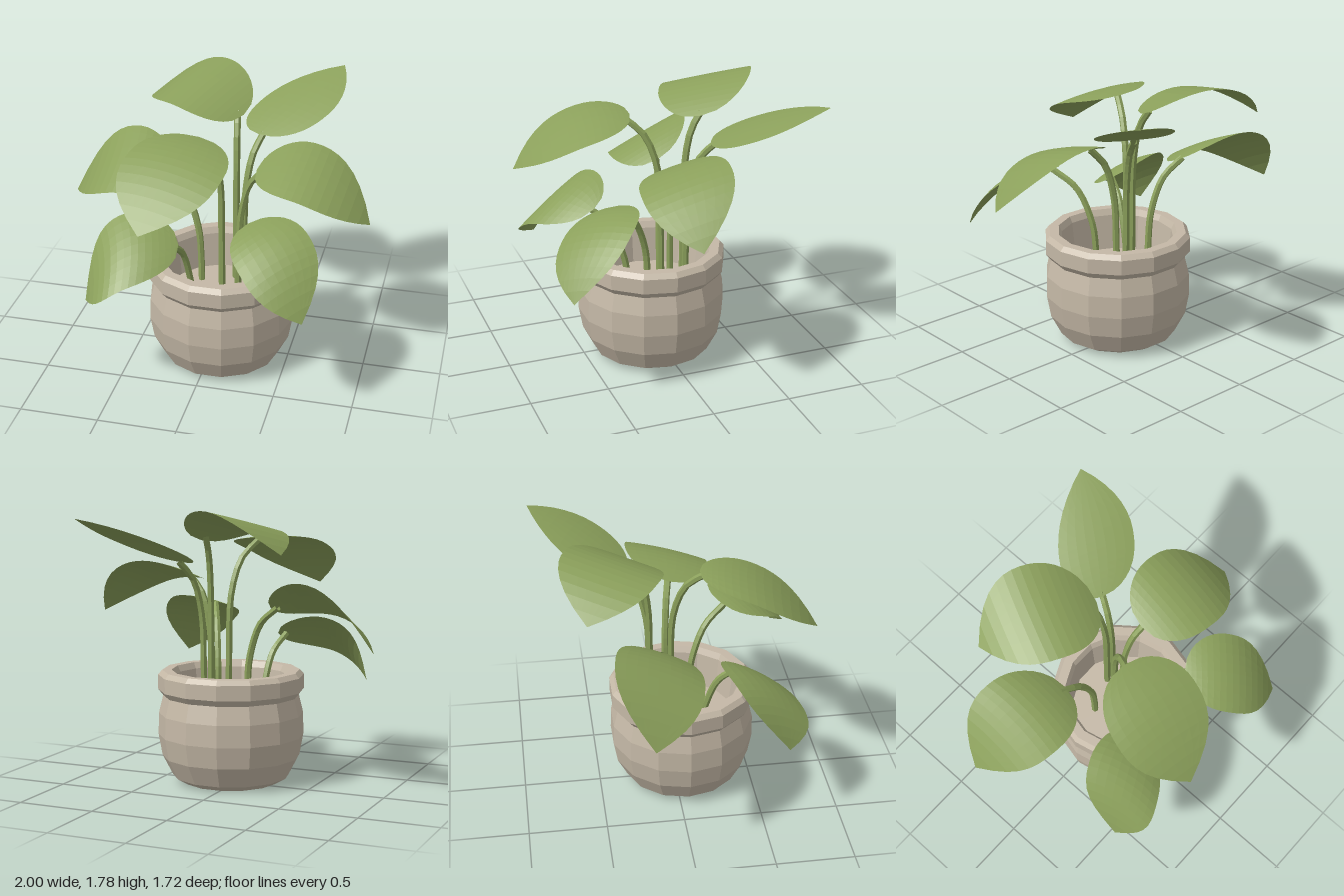
import * as THREE from 'three';

const V = (a) => new THREE.Vector3(...a);
const WIDEST = 0.42; // fraction of the leaf length where it is broadest

// Each leaf: base, middle, tip, the two widest edge points, tip fullness, and stem foot [x, z]
const LEAVES = [
  { name: 'leftLeaf', base: [-0.29, 1.16, -0.12], mid: [-0.61, 1.25, -0.17], tip: [-1, 0.93, -0.24],
    edges: [[-0.63, 1.35, -0.43], [-0.63, 1.11, 0.1]], full: 2.7, foot: [-0.1, -0.06] },
  { name: 'frontLeftLeaf', base: [-0.14, 0.94, 0.37], mid: [-0.43, 0.96, 0.51], tip: [-0.67, 0.62, 0.63],
    edges: [[-0.53, 1.06, 0.29], [-0.39, 0.79, 0.73]], full: 2.8, foot: [-0.11, 0.16] },
  { name: 'backLeftLeaf', base: [0.13, 1.58, -0.24], mid: [-0.17, 1.72, -0.41], tip: [-0.54, 1.53, -0.58],
    edges: [[-0.05, 1.78, -0.66], [-0.29, 1.65, -0.13]], full: 2.6, foot: [0.11, -0.14] },
  { name: 'backRightLeaf', base: [0.22, 1.44, -0.28], mid: [0.41, 1.58, -0.5], tip: [0.67, 1.73, -0.86],
    edges: [[0.19, 1.56, -0.6], [0.63, 1.56, -0.39]], full: 2.1, foot: [0.16, -0.14] },
  { name: 'rightLeaf', base: [0.27, 1.33, 0], mid: [0.6, 1.37, 0.03], tip: [1, 1.07, 0.08],
    edges: [[0.62, 1.43, -0.24], [0.57, 1.28, 0.3]], full: 2.6, foot: [0.15, -0.04] },
  { name: 'frontLeaf', base: [-0.06, 1.58, 0.15], mid: [-0.14, 1.54, 0.46], tip: [-0.25, 1.24, 0.86],
    edges: [[-0.44, 1.54, 0.42], [0.165, 1.48, 0.53]], full: 2.6, foot: [0.045, -0.02] },
  { name: 'frontRightLeaf', base: [0.29, 1.13, 0.35], mid: [0.49, 1.08, 0.56], tip: [0.71, 0.73, 0.77],
    edges: [[0.32, 0.98, 0.71], [0.67, 1.12, 0.39]], full: 2.7, foot: [0.18, 0.12] },
];

// Arched midrib through base, middle and tip
function midrib({ base, mid, tip }) {
  const t = WIDEST;
  const control = V(mid).addScaledVector(V(base), -((1 - t) ** 2)).addScaledVector(V(tip), -t * t)
    .divideScalar(2 * t * (1 - t));
  return new THREE.QuadraticBezierCurve3(V(base), control, V(tip));
}

// Half width along the leaf: round at the base, pointed at the tip
function widthAt(t, full) {
  if (t < WIDEST) return Math.pow(1 - Math.pow(1 - t / WIDEST, 2.3), 1 / 2.1);
  return 1 - Math.pow((t - WIDEST) / (1 - WIDEST), full);
}

// Curved leaf blade made from cross-sections along the midrib
function leafGeometry(leaf, rib) {
  const rows = 16, cols = 8, positions = [], index = [];
  const [left, right] = leaf.edges.map(V);
  const across = right.clone().sub(left).multiplyScalar(0.5);
  const bend = right.clone().add(left).multiplyScalar(0.5).sub(V(leaf.mid));
  for (let i = 0; i <= rows; i++) {
    const t = Math.pow(i / rows, 1.4), w = widthAt(t, leaf.full), centre = rib.getPoint(t);
    for (let j = 0; j <= cols; j++) {
      const s = (j / cols * 2 - 1) * w;
      const p = centre.clone().addScaledVector(across, s).addScaledVector(bend, s * s);
      positions.push(p.x, p.y, p.z);
      if (i < rows && j < cols) {
        const a = i * (cols + 1) + j, b = a + cols + 1;
        index.push(a, b, a + 1, b, b + 1, a + 1);
      }
    }
  }
  const geometry = new THREE.BufferGeometry();
  geometry.setAttribute('position', new THREE.Float32BufferAttribute(positions, 3));
  geometry.setIndex(index);
  geometry.computeVertexNormals();
  return geometry;
}

// Stem that rises straight from the soil, then arches over to the leaf
function stemGeometry([x, z], joint) {
  const at = (k, y) => new THREE.Vector3(x + (joint.x - x) * k, y, z + (joint.z - z) * k);
  const h = joint.y;
  const path = new THREE.CatmullRomCurve3([
    at(0, 0.45), at(0.02, (0.45 + h - 0.35) / 2), at(0.1, h - 0.33), at(0.45, h - 0.11), joint,
  ]);
  return new THREE.TubeGeometry(path, 14, 0.022, 6, false);
}

export function createModel() {
  const model = new THREE.Group();
  model.name = 'pottedPlant';
  const clay = new THREE.MeshStandardMaterial({ name: 'clay', color: 0xc4b8a6, flatShading: true });
  const green = new THREE.MeshStandardMaterial({
    name: 'leafGreen', color: 0x8ba05b, flatShading: true, side: THREE.DoubleSide,
  });

  // Pot with rolled rim, inner wall and inner floor
  const profile = [
    [0, 0], [0.31, 0], [0.38, 0.04], [0.447, 0.17], [0.472, 0.31], [0.468, 0.45], [0.44, 0.565],
    [0.472, 0.605], [0.472, 0.7], [0.445, 0.73], [0.385, 0.73], [0.365, 0.69], [0.34, 0.46], [0, 0.46],
  ].map(([r, y]) => new THREE.Vector2(r, y));
  const pot = new THREE.Mesh(new THREE.LatheGeometry(profile, 14), clay);
  pot.name = 'pot';
  pot.rotation.y = Math.PI / 2;
  pot.position.set(0.06, 0, 0.055);
  model.add(pot);

  // Leaves, each with its stem
  for (const leaf of LEAVES) {
    const rib = midrib(leaf);
    const blade = new THREE.Mesh(leafGeometry(leaf, rib), green);
    blade.name = leaf.name;
    const joint = rib.getPoint(0.06);
    joint.y -= 0.02;
    const stem = new THREE.Mesh(stemGeometry(leaf.foot, joint), green);
    stem.name = leaf.name + 'Stem';
    model.add(blade, stem);
  }
  return model;
}
